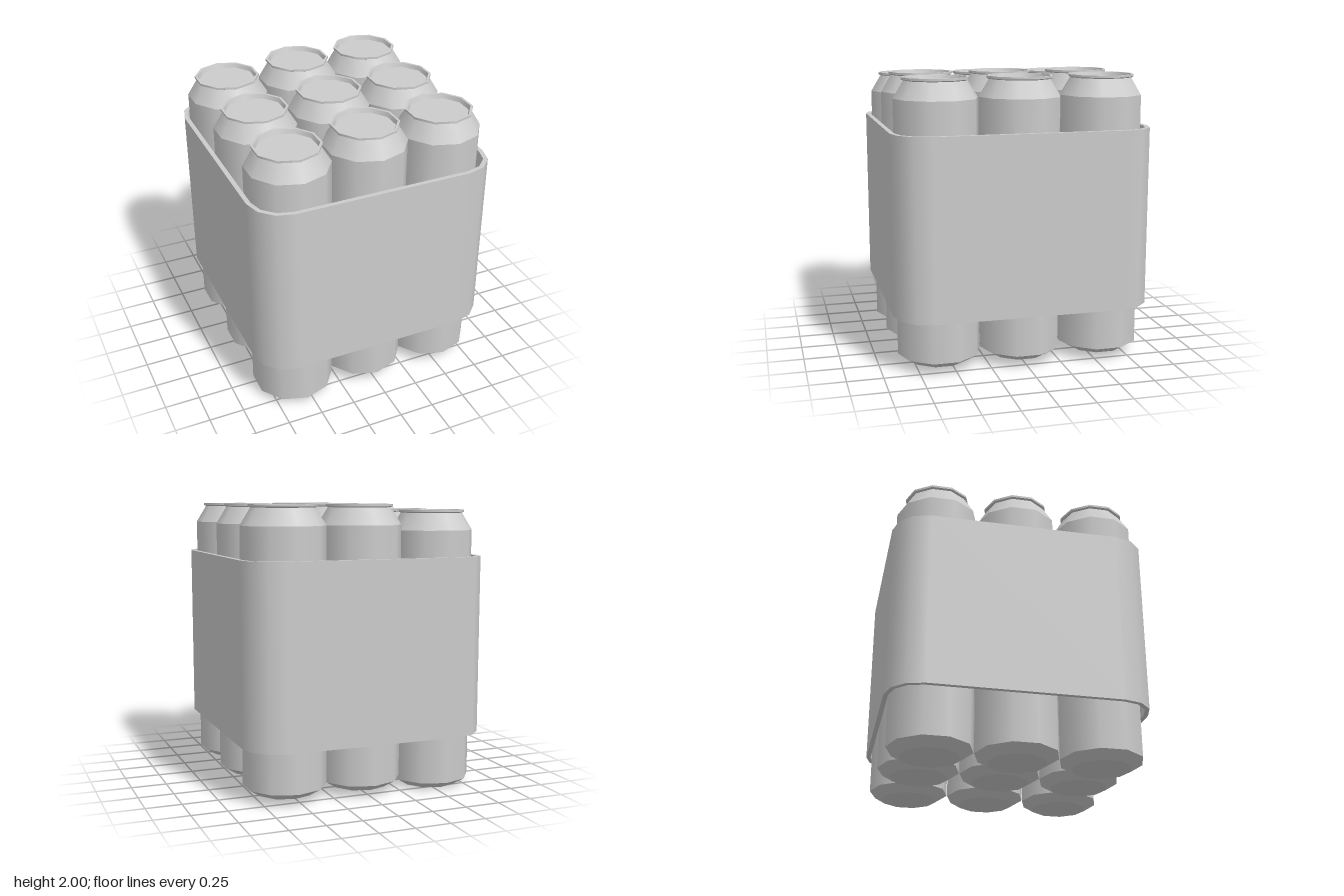
import * as THREE from 'three';
import { mergeGeometries } from 'three/addons/utils/BufferGeometryUtils.js';

const SIDES = 10;
const CORE_X = 0.628, CORE_Z = 0.662; // centres of the sleeve's corner arcs

// Ten-sided can: smooth around, with a crisp edge at every profile point
function canGeometry() {
  const profile = [
    [0, 0], [0.205, 0], [0.289, 0.052], [0.289, 1.82],
    [0.217, 1.938], [0.232, 1.945], [0.232, 1.96],
    [0.215, 1.96], [0.205, 1.93], [0, 1.93],
  ].map(([r, y]) => new THREE.Vector2(r, y));
  const bands = [];
  for (let i = 0; i < profile.length - 1; i++) {
    bands.push(new THREE.LatheGeometry([profile[i], profile[i + 1]], SIDES));
  }
  const geometry = mergeGeometries(bands);
  geometry.normalizeNormals();
  return geometry;
}

// Rounded rectangle outline with three facets per corner
function outline(radius) {
  const points = [];
  const corners = [[1, 1], [-1, 1], [-1, -1], [1, -1]];
  corners.forEach(([sx, sy], c) => {
    for (let i = 0; i <= 3; i++) {
      const a = (c + i / 3) * Math.PI / 2;
      points.push(new THREE.Vector2(
        sx * CORE_X + radius * Math.cos(a),
        sy * CORE_Z + radius * Math.sin(a)));
    }
  });
  return points;
}

// Open sleeve with smoothly shaded corners
function sleeveGeometry(outer, inner, height) {
  const shape = new THREE.Shape(outline(outer));
  shape.holes.push(new THREE.Path(outline(inner)));
  const geometry = new THREE.ExtrudeGeometry(shape, { depth: height, bevelEnabled: false });
  const { position, normal } = geometry.attributes;
  for (let i = 0; i < position.count; i++) {
    if (Math.abs(normal.getZ(i)) > 0.5) continue;
    // Wall normals point away from the core rectangle, or towards it inside
    const x = position.getX(i), y = position.getY(i);
    const n = new THREE.Vector2(
      x - THREE.MathUtils.clamp(x, -CORE_X, CORE_X),
      y - THREE.MathUtils.clamp(y, -CORE_Z, CORE_Z));
    const sign = n.length() > (outer + inner) / 2 ? 1 : -1;
    n.normalize().multiplyScalar(sign);
    normal.setXYZ(i, n.x, n.y, 0);
  }
  geometry.rotateX(-Math.PI / 2);
  return geometry;
}

export function createModel() {
  const model = new THREE.Group();
  model.name = 'canPack';
  const material = new THREE.MeshStandardMaterial({ color: 0xcccccc });

  // Three by three cans; the column on the model's right sits slightly lower
  const cans = new THREE.Group();
  cans.name = 'cans';
  const can = canGeometry();
  for (let col = -1; col <= 1; col++) {
    for (let row = -1; row <= 1; row++) {
      const mesh = new THREE.Mesh(can, material);
      mesh.name = 'can';
      mesh.position.set(col * 0.551 - 0.003, col < 0 ? 0 : 0.04, row * 0.582);
      cans.add(mesh);
    }
  }
  model.add(cans);

  // Cardboard sleeve around the middle
  const sleeve = new THREE.Mesh(sleeveGeometry(0.245, 0.213, 1.255), material);
  sleeve.name = 'sleeve';
  sleeve.position.y = 0.385;
  model.add(sleeve);

  return model;
}
